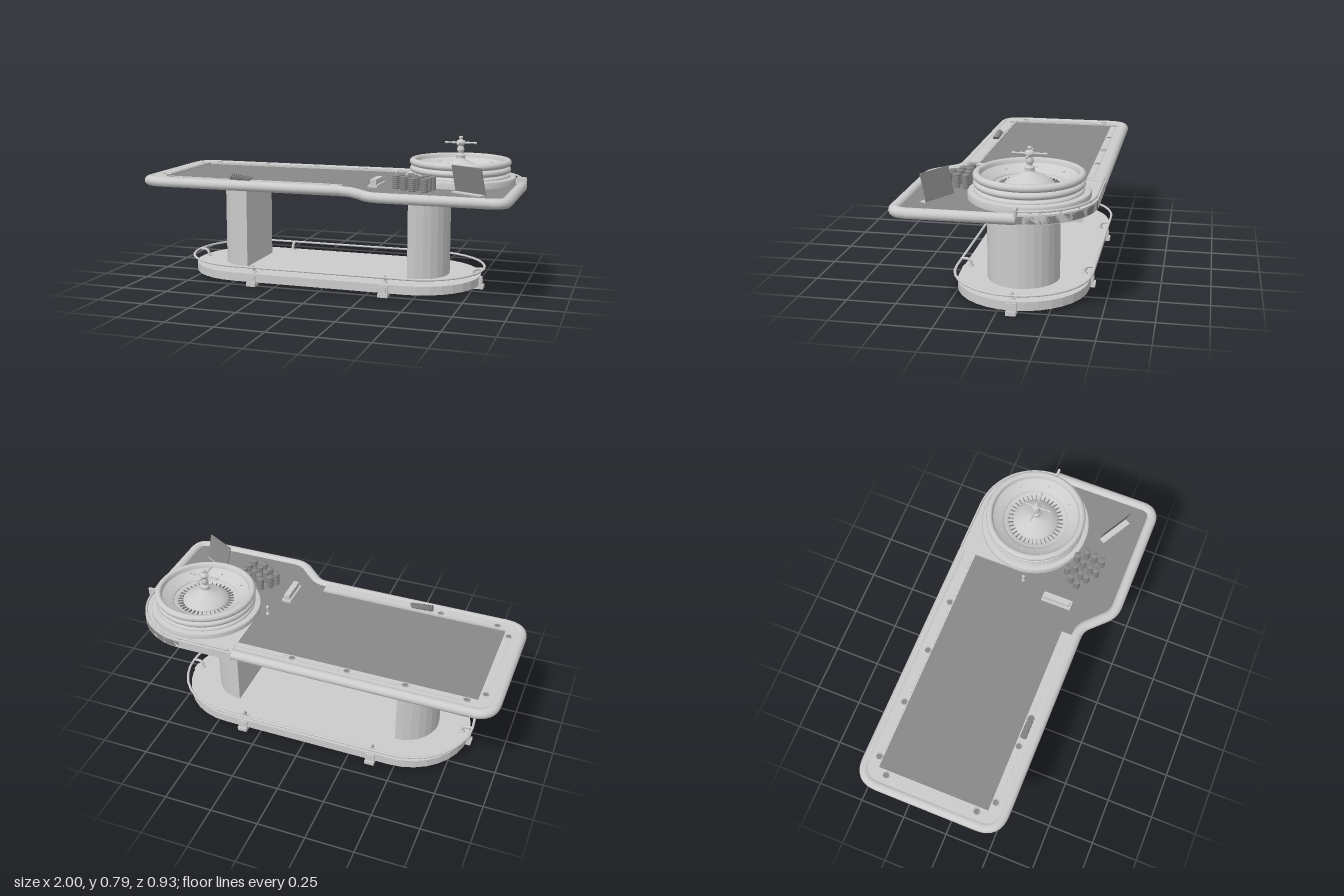
import * as THREE from 'three';

const grey = new THREE.MeshStandardMaterial({ color: 0xcccccc, side: THREE.DoubleSide });
const dark = new THREE.MeshStandardMaterial({ color: 0x888888, side: THREE.DoubleSide });
const WX = 0.65, WZ = -0.14;   // wheel centre
const BX = -0.015, BZ = -0.075; // base centre

export function createModel() {
  const root = new THREE.Group();

  const add = (name, geo, x = 0, y = 0, z = 0, mat = grey, parent = root) => {
    const m = new THREE.Mesh(geo, mat);
    m.name = name;
    m.position.set(x, y, z);
    parent.add(m);
    return m;
  };
  const box = (name, w, h, d, x, y, z, mat, parent) => add(name, new THREE.BoxGeometry(w, h, d), x, y, z, mat, parent);
  const v2 = (a) => a.map(([x, z]) => new THREE.Vector2(x, z));

  // Polyline in x, z with corners [x, z, radius] rounded off
  const rounded = (corners) => {
    const pts = [];
    corners.forEach(([x, z, r], i) => {
      const p = new THREE.Vector2(x, z);
      if (!r) return pts.push(p);
      const [a, b] = [corners[i - 1], corners[i + 1]].map(([cx, cz]) =>
        new THREE.Vector2(cx, cz).sub(p).setLength(r).add(p));
      pts.push(...new THREE.QuadraticBezierCurve(a, p, b).getPoints(8));
    });
    return pts;
  };
  const arc = (cx, cz, r, a0, a1, n = 16) => Array.from({ length: n + 1 }, (_, i) => {
    const a = a0 + (a1 - a0) * i / n;
    return new THREE.Vector2(cx + r * Math.cos(a), cz + r * Math.sin(a));
  });
  // Horizontal slab from an outline in x, z
  const slab = (name, pts, y0, y1, mat) => {
    const shape = new THREE.Shape(pts.map((p) => new THREE.Vector2(p.x, -p.y)));
    const g = new THREE.ExtrudeGeometry(shape, { depth: y1 - y0, bevelEnabled: false });
    return add(name, g.rotateX(-Math.PI / 2), 0, y0, 0, mat);
  };
  // Elliptical section swept along a level path, with mitred corners
  const sweep = (name, path, y, rx, ry, closed = false, n = 12) => {
    const L = path.length, pos = [], idx = [];
    const dir = (a, b) => path[b].clone().sub(path[a]).normalize();
    const ring = (i, s) => {
      const prev = closed ? (i + L - 1) % L : Math.max(i - 1, 0);
      const next = closed ? (i + 1) % L : Math.min(i + 1, L - 1);
      const t2 = next === i ? dir(prev, i) : dir(i, next);
      const t1 = prev === i ? t2 : dir(prev, i);
      const t = t1.clone().add(t2).normalize(), k = s / t.dot(t1);
      for (let j = 0; j < n; j++) {
        const a = 2 * Math.PI * j / n, c = Math.cos(a) * rx * k;
        pos.push(path[i].x + t.y * c, y + Math.sin(a) * ry * s, path[i].y - t.x * c);
      }
    };
    if (!closed) ring(0, 0.001);
    path.forEach((_, i) => ring(i, 1));
    ring(closed ? 0 : L - 1, closed ? 1 : 0.001);
    for (let i = 0; i < pos.length / 3 / n - 1; i++) for (let j = 0; j < n; j++) {
      const a = i * n + j, b = i * n + (j + 1) % n;
      idx.push(a, b, a + n, b, b + n, a + n);
    }
    const g = new THREE.BufferGeometry();
    g.setAttribute('position', new THREE.Float32BufferAttribute(pos, 3));
    g.setIndex(idx);
    g.computeVertexNormals();
    return add(name, g);
  };
  const stadium = (r, half) => [
    ...arc(BX + half, BZ, r, -Math.PI / 2, Math.PI / 2),
    ...arc(BX - half, BZ, r, Math.PI / 2, Math.PI * 1.5)];

  // Base plinth, foot rail, feet and curved rail posts
  slab('basePlinth', stadium(0.33, 0.465), 0.02, 0.065);
  sweep('footRail', stadium(0.343, 0.47), 0.103, 0.007, 0.006, true, 8);
  const feet = [[0.465, 0, 1, 0], [-0.465, 0, -1, 0]];
  for (const x of [-0.36, 0.36]) for (const s of [-1, 1]) feet.push([x, 0, 0, s]);
  for (const [x, z, nx, nz] of feet) {
    const foot = new THREE.Group();
    foot.name = 'foot';
    foot.position.set(BX + x, 0, BZ + z);
    foot.rotation.y = Math.atan2(nx, nz);
    root.add(foot);
    box('footPlate', 0.05, 0.02, 0.05, 0, 0.01, 0.325, grey, foot);
    box('footBracket', 0.05, 0.045, 0.012, 0, 0.037, 0.333, grey, foot);
    box('footBadgePlate', 0.034, 0.03, 0.006, 0, 0.037, 0.339, grey, foot);
    const bend = new THREE.CatmullRomCurve3([[0.295, 0.06], [0.296, 0.085], [0.308, 0.1], [0.343, 0.103]]
      .map(([z, y]) => new THREE.Vector3(0, y, z)));
    add('railPost', new THREE.TubeGeometry(bend, 10, 0.008, 8), 0, 0, 0, grey, foot);
    add('postCollar', new THREE.CylinderGeometry(0.013, 0.015, 0.008, 12), 0, 0.069, 0.295, grey, foot);
  }

  // Half-round pedestals, flat sides facing each other
  slab('rightPedestal', arc(-0.46, -0.073, 0.183, Math.PI / 2, Math.PI * 1.5, 14), 0.065, 0.52);
  slab('leftPedestal', arc(0.432, -0.073, 0.183, -Math.PI / 2, Math.PI / 2, 14), 0.065, 0.52);

  // Playing surface and padded rail
  const edge = [[-0.973, -0.443, 0.1], [-0.973, 0.292, 0.1], [0.18, 0.292, 0.05],
    [0.321, 0.433, 0.05], [0.973, 0.433, 0.07]];
  const railPath = rounded([[0.36, -0.443], ...edge, [0.973, -0.135]]);
  const corner = arc(WX, WZ, 0.325, 0, -Math.PI / 2);
  slab('feltTop', [...railPath, ...corner], 0.516, 0.55, dark);
  sweep('paddedRail', railPath, 0.538, 0.028, 0.026);

  // Raised ledge on three sides, with cup rings and trim strips
  slab('ledge', [...rounded([[0.36, -0.44], [-0.97, -0.44, 0.1], [-0.97, 0.29, 0.1], [0.1, 0.29]]),
    ...v2([[0.12, 0.27], [0.12, 0.215], [-0.89, 0.215], [-0.89, -0.37], [0.36, -0.37]])], 0.548, 0.56);
  const cups = [[-0.84, -0.39], [-0.535, -0.39], [-0.235, -0.39], [0.055, -0.39],
    [-0.915, -0.32], [-0.915, 0.165], [-0.84, 0.235], [-0.535, 0.235]];
  for (const [x, z] of cups) {
    add('cupRing', new THREE.TorusGeometry(0.017, 0.003, 6, 16).rotateX(Math.PI / 2), x, 0.561, z);
    add('cupWell', new THREE.CylinderGeometry(0.015, 0.015, 0.002, 16), x, 0.561, z, dark);
  }
  const strips = [[-0.8, -0.57, -0.39], [-0.5, -0.27, -0.39], [-0.2, 0.02, -0.39], [0.09, 0.33, -0.39],
    [-0.8, -0.57, 0.235], [-0.5, 0.05, 0.235]];
  for (const [a, b, z] of strips) box('ledgeStrip', b - a, 0.003, 0.026, (a + b) / 2, 0.561, z);
  box('ledgeStrip', 0.026, 0.003, 0.4, -0.915, 0.561, -0.08);

  // Wheel platform with its thin guard rail
  slab('wheelPlatform', [...v2([[0.362, WZ], [0.362, -0.465]]), ...corner.slice().reverse()], 0.513, 0.558);
  sweep('guardRail', [...v2([[0.37, -0.458]]), ...arc(WX, WZ, 0.317, -Math.PI / 2, 0)], 0.572, 0.006, 0.006, false, 8);
  for (let i = 0; i < 6; i++) {
    const a = -Math.PI / 2 * i / 5;
    add('guardPost', new THREE.CylinderGeometry(0.004, 0.004, 0.016, 6),
      WX + 0.317 * Math.cos(a), 0.564, WZ + 0.317 * Math.sin(a));
  }
  box('railEndCap', 0.05, 0.035, 0.012, 0.973, 0.57, -0.135);

  // Wheel: stacked rings outside, sloped bowl and dome inside
  const wheel = new THREE.Group();
  wheel.name = 'wheel';
  wheel.position.set(WX, 0, WZ);
  root.add(wheel);
  const lathe = (name, pts, n = 48) => add(name, new THREE.LatheGeometry(v2(pts), n), 0, 0, 0, grey, wheel);
  lathe('wheelBase', [[0.29, 0.55], [0.29, 0.578], [0.284, 0.585], [0.25, 0.586]]);
  const shell = [];
  for (const [y, r, h] of [[0.587, 0.26, 0.013], [0.62, 0.263, 0.016], [0.656, 0.265, 0.018]]) {
    for (let i = 0; i <= 8; i++) {
      const a = -Math.PI / 2 + Math.PI * i / 8;
      shell.push([r - 0.018 + 0.018 * Math.cos(a), y + h * Math.sin(a)]);
    }
  }
  lathe('wheelShell', [...shell, [0.238, 0.673], [0.232, 0.666], [0.228, 0.65]]);
  lathe('bowl', [[0.228, 0.65], [0.215, 0.642], [0.19, 0.628], [0.17, 0.62], [0.168, 0.612]]);
  lathe('numberRing', [[0.168, 0.612], [0.15, 0.61], [0.148, 0.603], [0.122, 0.6], [0.12, 0.612]]);
  lathe('dome', [[0.12, 0.612], [0.114, 0.618], [0.1, 0.631], [0.08, 0.643], [0.055, 0.654], [0.035, 0.664], [0.024, 0.672]]);
  const radial = (name, count, r, y, size, mat) => {
    for (let i = 0; i < count; i++) {
      const a = 2 * Math.PI * i / count;
      box(name, ...size, r * Math.cos(a), y, r * Math.sin(a), mat, wheel).rotation.y = -a;
    }
  };
  radial('pocketDivider', 37, 0.134, 0.606, [0.028, 0.01, 0.003], dark);
  radial('deflector', 8, 0.2, 0.636, [0.014, 0.006, 0.007]);

  // Turned spindle with four handles
  lathe('spindle', [[0.024, 0.668], [0.025, 0.675], [0.02, 0.68], [0.025, 0.686], [0.024, 0.692], [0.016, 0.697],
    [0.011, 0.702], [0.017, 0.71], [0.02, 0.72], [0.016, 0.733], [0.011, 0.742], [0.022, 0.747], [0.024, 0.756],
    [0.02, 0.766], [0.008, 0.771], [0.007, 0.775], [0.012, 0.781], [0.009, 0.788], [0, 0.791]], 20);
  const handle = new THREE.LatheGeometry(v2([[0.008, 0.018], [0.005, 0.028], [0.007, 0.04], [0.004, 0.05],
    [0.004, 0.066], [0.007, 0.072], [0.006, 0.082], [0, 0.086]]), 10).rotateZ(-Math.PI / 2);
  for (let i = 0; i < 4; i++) add('spindleHandle', handle, 0, 0.755, 0, grey, wheel).rotation.y = i * Math.PI / 2;

  // Chip stacks made of ridged discs
  const stacks = [[0.45, 0.12], [0.41, 0.155], [0.475, 0.155], [0.535, 0.145], [0.39, 0.195], [0.45, 0.195],
    [0.515, 0.185], [0.575, 0.185], [0.44, 0.23], [0.5, 0.23], [0.565, 0.23], [0.49, 0.265], [0.555, 0.275]];
  const ridges = [[0, 0.55]];
  for (let i = 0; i < 7; i++) ridges.push([0.0155, 0.55 + i * 0.01], [0.018, 0.552 + i * 0.01], [0.018, 0.558 + i * 0.01]);
  ridges.push([0, 0.62]);
  const stackGeo = new THREE.LatheGeometry(v2(ridges), 14);
  for (const [x, z] of stacks) add('chipStack', stackGeo, x, 0, z, dark);

  // Row of chips toppled along the front ledge
  for (let i = 0; i < 11; i++) {
    add('looseChip', new THREE.CylinderGeometry(0.017, 0.017, 0.006, 14), -0.485 + i * 0.0105, 0.577 - i * 0.0008, 0.24, dark)
      .rotation.z = 1.35 - i * 0.06;
  }

  // Card tray, marker and leaning sign
  box('cardTray', 0.05, 0.012, 0.16, 0.272, 0.556, 0.13);
  box('cardTrayBlock', 0.03, 0.032, 0.14, 0.272, 0.574, 0.13);
  add('marker', new THREE.LatheGeometry(v2([[0.011, 0.55], [0.011, 0.556], [0.005, 0.563], [0.004, 0.585],
    [0.009, 0.59], [0.009, 0.6], [0, 0.608]]), 12), 0.322, 0, -0.08);
  const sign = new THREE.Group();
  sign.name = 'sign';
  sign.position.set(0.78, 0.55, 0.255);
  sign.rotation.y = -0.51;
  root.add(sign);
  box('signPanel', 0.185, 0.144, 0.005, 0, 0.068, 0.018, dark, sign).rotation.x = 0.25;
  box('signFoot', 0.185, 0.006, 0.04, 0, 0.004, 0.018, grey, sign);

  return root;
}
